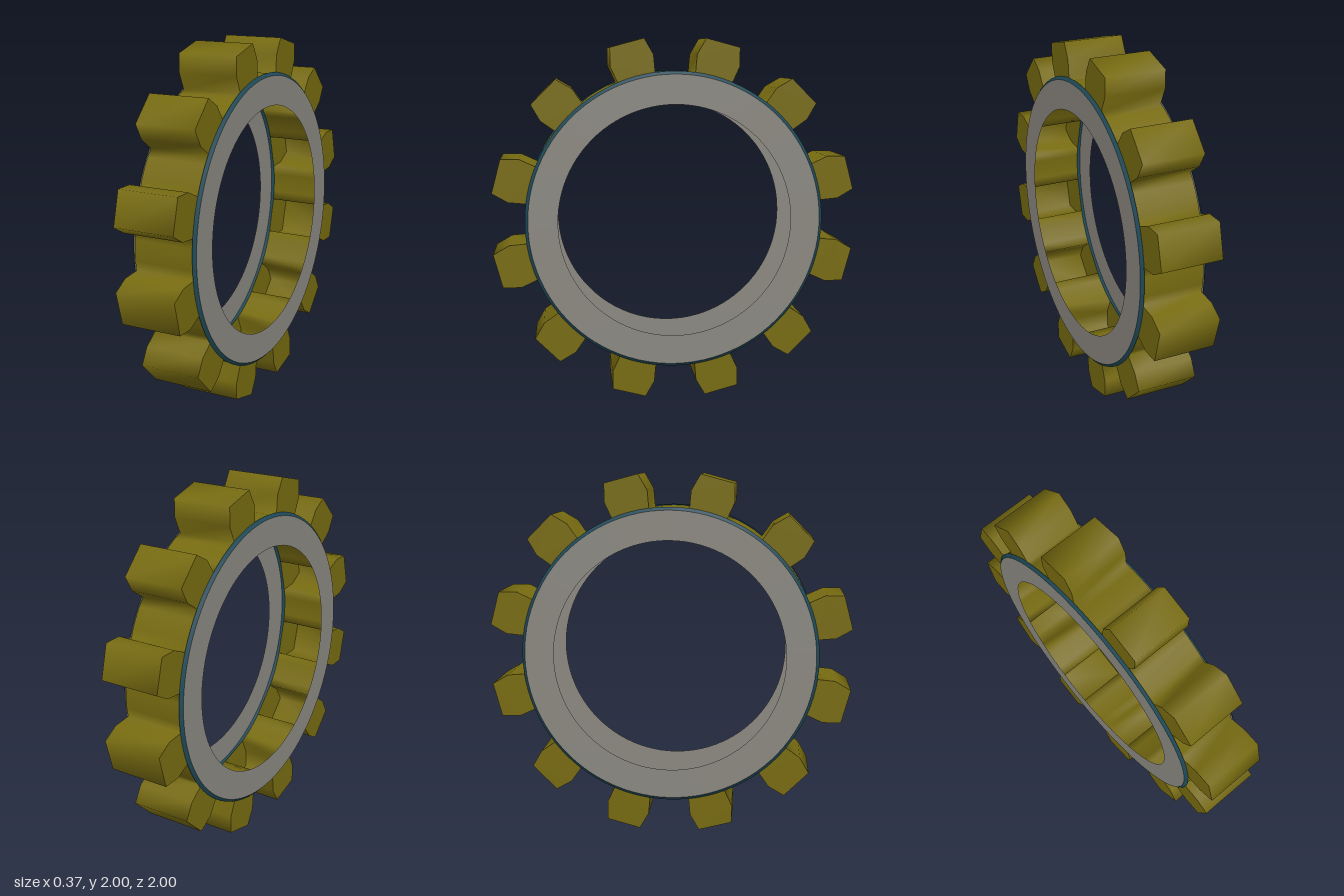
import * as THREE from 'three';

const TEETH = 12, HALF = 0.17, FACE = 0.185;
const RIM = 0.825, FACE_OUT = 0.808, FACE_IN = 0.645;
// one tooth cross-section: [angle from its centre in degrees, radius]
const TOOTH = [[-7.3, 0.815], [-7.6, 0.92], [-5.4, 1.014], [5.4, 1.014], [7.6, 0.92], [7.3, 0.815]];
const ROOT = [[11, 0.818], [15, 0.818], [19, 0.818]];

const point = ([deg, r], i) => {
  const a = THREE.MathUtils.degToRad(deg + (i + 0.5) * 360 / TEETH);
  return new THREE.Vector2(r * Math.sin(a), r * Math.cos(a));
};

// corrugated band running round the wheel, one smooth closed surface
function bandGeometry() {
  const loop = [];
  for (let i = 0; i < TEETH; i++) for (const p of [...TOOTH, ...ROOT]) loop.push(point(p, i));
  const pos = [], index = [], n = loop.length;
  loop.forEach((p, i) => {
    pos.push(-HALF, p.y, p.x, HALF, p.y, p.x);
    const a = 2 * i, b = 2 * ((i + 1) % n);
    index.push(a, b, a + 1, b, b + 1, a + 1);
  });
  const g = new THREE.BufferGeometry();
  g.setAttribute('position', new THREE.Float32BufferAttribute(pos, 3));
  g.setIndex(index);
  g.computeVertexNormals();
  return g;
}

export function createModel() {
  const material = (name, color) => {
    const m = new THREE.MeshStandardMaterial({ color, side: THREE.DoubleSide });
    m.name = name;
    return m;
  };
  const olive = material('olive', 0x766a10);
  const grey = material('warm grey', 0x8a8780);
  const blue = material('dark blue', 0x1f4958);

  const model = new THREE.Group();
  model.name = 'toothedRing';
  const wheel = new THREE.Group();
  wheel.name = 'wheel';
  wheel.position.y = 1;
  model.add(wheel);
  const add = (name, geometry, mat) => {
    const mesh = new THREE.Mesh(geometry, mat);
    mesh.name = name;
    wheel.add(mesh);
    return mesh;
  };

  add('toothedBand', bandGeometry(), olive);

  const toothShapes = Array.from({ length: TEETH }, (_, i) => new THREE.Shape(TOOTH.map(p => point(p, i))));
  for (const [side, s] of [['left', 1], ['right', -1]]) {
    // tooth ends
    const ends = add(side + 'ToothEnds', new THREE.ShapeGeometry(toothShapes), olive);
    ends.rotation.y = s * Math.PI / 2;
    ends.position.x = s * HALF;
    // flat side ring
    const face = add(side + 'SideRing', new THREE.RingGeometry(FACE_IN, FACE_OUT, 96), grey);
    face.rotation.y = s * Math.PI / 2;
    face.position.x = s * FACE;
    // bevelled rim around the side ring
    const rim = add(side + 'BevelRim', new THREE.CylinderGeometry(FACE_OUT, RIM, FACE - HALF, 96, 1, true), blue);
    rim.rotation.z = -s * Math.PI / 2;
    rim.position.x = s * (FACE + HALF) / 2;
  }
  return model;
}
